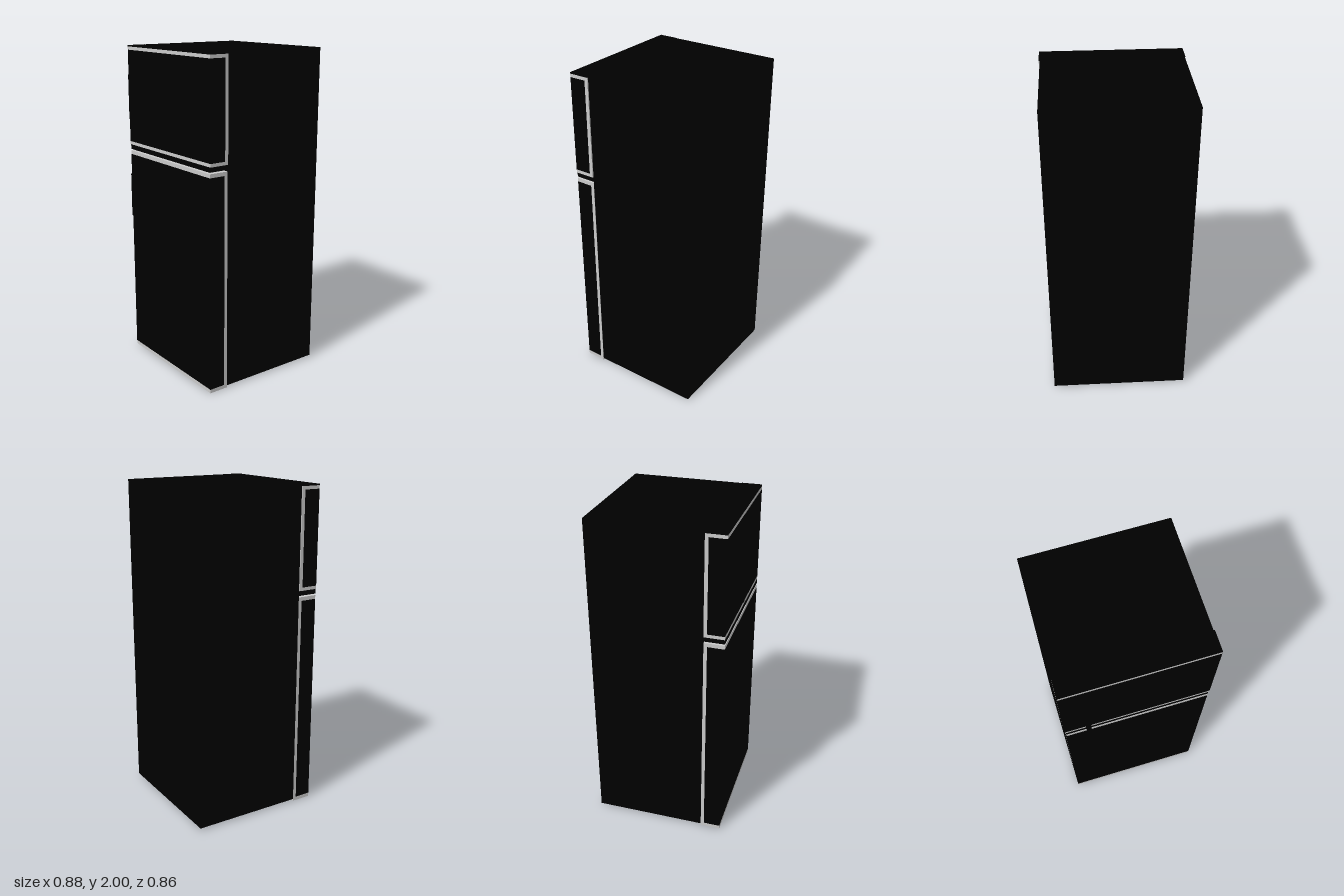
import * as THREE from 'three';

const black = new THREE.MeshStandardMaterial({ color: 0x000000 });
const grey = new THREE.MeshStandardMaterial({ color: 0xcccccc });

// Box given by its minimum and maximum corners
function box(name, material, [x0, y0, z0], [x1, y1, z1]) {
  const mesh = new THREE.Mesh(new THREE.BoxGeometry(x1 - x0, y1 - y0, z1 - z0), material);
  mesh.position.set((x0 + x1) / 2, (y0 + y1) / 2, (z0 + z1) / 2);
  mesh.name = name;
  return mesh;
}

// Profile in the xy plane extruded along z from z0 to z1
function extrude(name, material, points, z0, z1) {
  const shape = new THREE.Shape(points.map(([x, y]) => new THREE.Vector2(x, y)));
  const geometry = new THREE.ExtrudeGeometry(shape, { depth: z1 - z0, bevelEnabled: false });
  geometry.translate(0, 0, z0);
  const mesh = new THREE.Mesh(geometry, material);
  mesh.name = name;
  return mesh;
}

const FRONT = -0.37, BACK = -0.247;

// Door panel held in a C-shaped trim that wraps its top, back and bottom
function door(name, y0, y1, halfDepth, edge) {
  const group = new THREE.Group();
  group.name = name;
  const inner = BACK - 0.021;
  group.add(
    box(name + 'Panel', black, [FRONT, y0 + edge, -halfDepth], [inner, y1 - edge, halfDepth]),
    extrude(name + 'Trim', grey, [
      [FRONT, y0], [BACK, y0], [BACK, y1], [FRONT, y1],
      [FRONT, y1 - edge], [inner, y1 - edge], [inner, y0 + edge], [FRONT, y0 + edge],
    ], -halfDepth, halfDepth),
  );
  return group;
}

// Bracket handle with its feet on the door front
function handle(name, y0, y1) {
  const x = -0.44, grip = -0.4, foot = 0.035;
  return extrude(name, black, [
    [FRONT, y0], [FRONT, y0 + foot], [grip, y0 + foot], [grip, y1 - foot],
    [FRONT, y1 - foot], [FRONT, y1], [x, y1], [x, y0],
  ], -0.315, -0.288);
}

export function createModel() {
  const model = new THREE.Group();
  model.name = 'refrigerator';
  model.add(
    box('cabinet', black, [BACK, 0.012, -0.426], [0.438, 2, 0.424]),
    // Freezer door with a thin dark cap on top
    door('freezerDoor', 1.382, 1.992, 0.431, 0.02),
    box('topCap', black, [FRONT, 1.992, -0.431], [BACK, 2, 0.431]),
    // Divider between the doors
    box('divider', black, [FRONT, 1.352, -0.425], [BACK, 1.382, 0.425]),
    door('mainDoor', 0, 1.343, 0.426, 0.023),
    handle('freezerHandle', 1.565, 1.833),
    handle('mainHandle', 0.95, 1.22),
  );
  return model;
}
